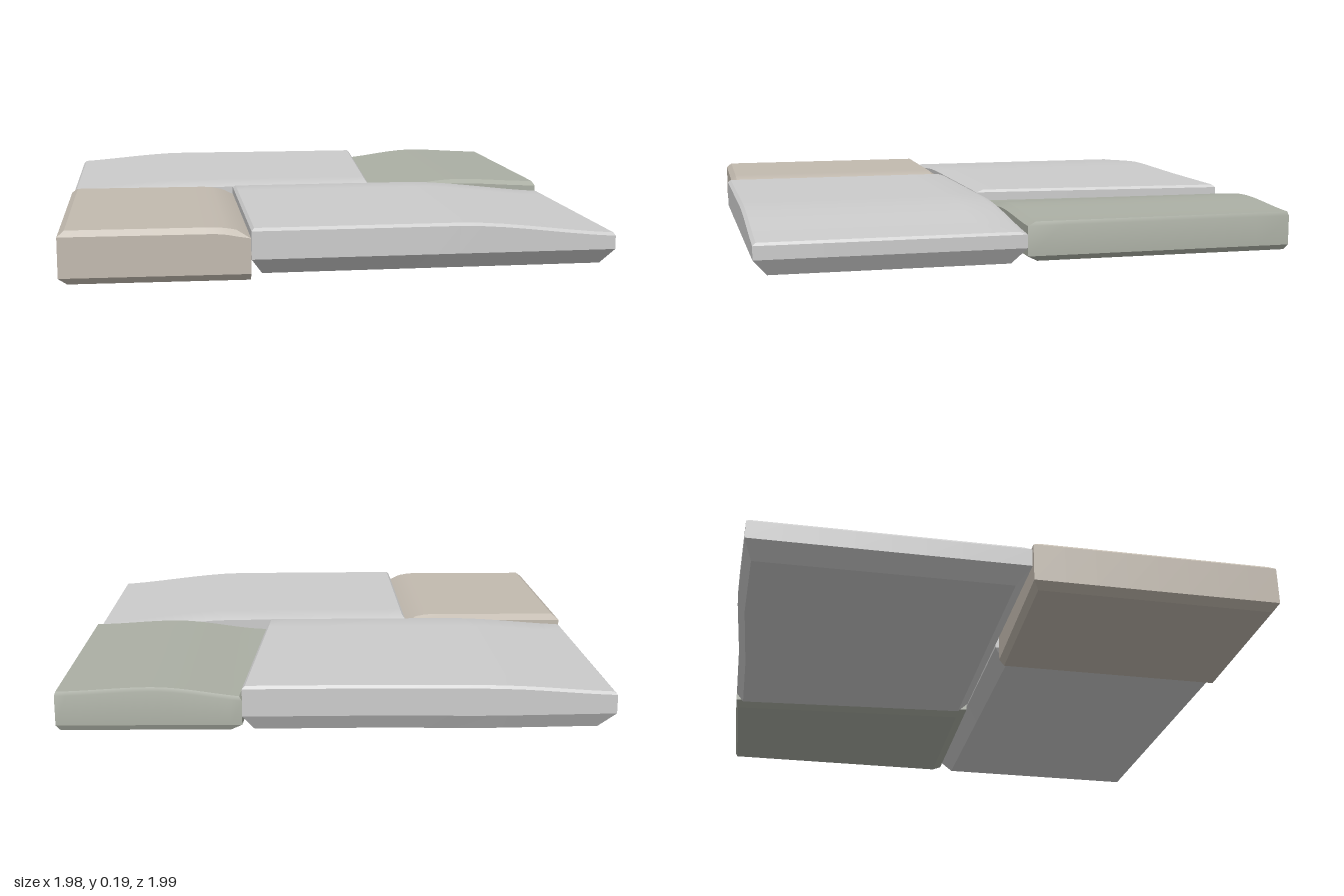
import * as THREE from 'three';
import { toCreasedNormals } from 'three/addons/utils/BufferGeometryUtils.js';

const lerp = THREE.MathUtils.lerp;
const smooth = THREE.MathUtils.smoothstep;

// One worn paving stone: a box whose four layers form a bottom chamfer, a wall and a top rim.
// corners: [x, z] back-left, back-right, front-left, front-right, as seen from above.
// under / rim: insets of the bottom and top faces on the [-x, +x, -z, +z] sides.
function stone(name, color, { corners, bottom, chamfer, under, rim, rimDrop, top, bow = () => 0 }) {
  const geometry = new THREE.BoxGeometry(1, 1, 1, 16, 3, 8);
  const p = geometry.attributes.position;
  const [bl, br, fl, fr] = corners;
  const width = br[0] - bl[0], depth = fl[1] - bl[1];
  const none = [0, 0, 0, 0];
  for (let i = 0; i < p.count; i++) {
    const layer = Math.round((p.getY(i) + 0.5) * 3);
    const inset = [under, none, none, rim][layer];
    const u = lerp(inset[0] / width, 1 - inset[1] / width, p.getX(i) + 0.5);
    const v = lerp(inset[2] / depth, 1 - inset[3] / depth, p.getZ(i) + 0.5);
    const x = lerp(lerp(bl[0], br[0], u), lerp(fl[0], fr[0], u), v);
    const z = lerp(lerp(bl[1], br[1], u), lerp(fl[1], fr[1], u), v) + bow(x) * (1 - v);
    const y = [bottom, bottom + chamfer, top(x, z) - rimDrop, top(x, z)][layer];
    p.setXYZ(i, x, y, z);
  }
  const mesh = new THREE.Mesh(
    toCreasedNormals(geometry, 0.4),
    new THREE.MeshStandardMaterial({ color, roughness: 0.9 })
  );
  mesh.name = name;
  return mesh;
}

export function createModel() {
  const group = new THREE.Group();
  group.name = 'pavingStones';

  // Two large grey slabs, each worn down toward its outer end
  group.add(stone('backSlab', 0xcccccc, {
    corners: [[-0.99, -0.985], [0.335, -0.985], [-0.99, 0.03], [0.255, 0.03]],
    bottom: 0.025, chamfer: 0.055, under: [0.06, 0.04, 0.03, 0.05],
    rim: [0.01, 0.01, 0.01, 0.03], rimDrop: 0.01,
    top: (x) => 0.19 - 0.035 * smooth(-x, 0.5, 1.1),
    bow: (x) => -0.015 * (1 - Math.min(1, Math.abs(x + 0.55) / 0.45)),
  }));
  group.add(stone('frontSlab', 0xcccccc, {
    corners: [[-0.325, 0.035], [0.99, 0.03], [-0.325, 0.995], [0.99, 0.985]],
    bottom: 0.02, chamfer: 0.06, under: [0.04, 0.04, 0.05, 0.05],
    rim: [0.01, 0.005, 0.03, 0.012], rimDrop: 0.01,
    top: (x) => 0.19 - 0.055 * smooth(x, 0.4, 1.1),
  }));

  // Small greenish stone, sagging beside the back slab
  group.add(stone('greenStone', 0xabafa4, {
    corners: [[0.335, -0.985], [0.99, -0.975], [0.255, 0.025], [0.99, 0.03]],
    bottom: 0.03, chamfer: 0.02, under: [0.04, 0.015, 0.01, 0.04],
    rim: [0.01, 0.005, 0.005, 0.03], rimDrop: 0.015,
    top: (x) => 0.188 - 0.04 * smooth(-x, -0.65, -0.25) - 0.015 * smooth(x, 0.65, 1),
  }));

  // Small brown stone, its inner edge chamfered and its base set lowest
  group.add(stone('brownStone', 0xc2baaf, {
    corners: [[-0.99, 0.035], [-0.325, 0.05], [-0.99, 0.965], [-0.325, 0.975]],
    bottom: 0, chamfer: 0.025, under: [0.03, 0.0, 0.02, 0.02],
    rim: [0.025, 0.05, 0.03, 0.02], rimDrop: 0.02,
    top: (x) => 0.19 - 0.02 * smooth(x, -0.45, -0.3),
  }));

  return group;
}
